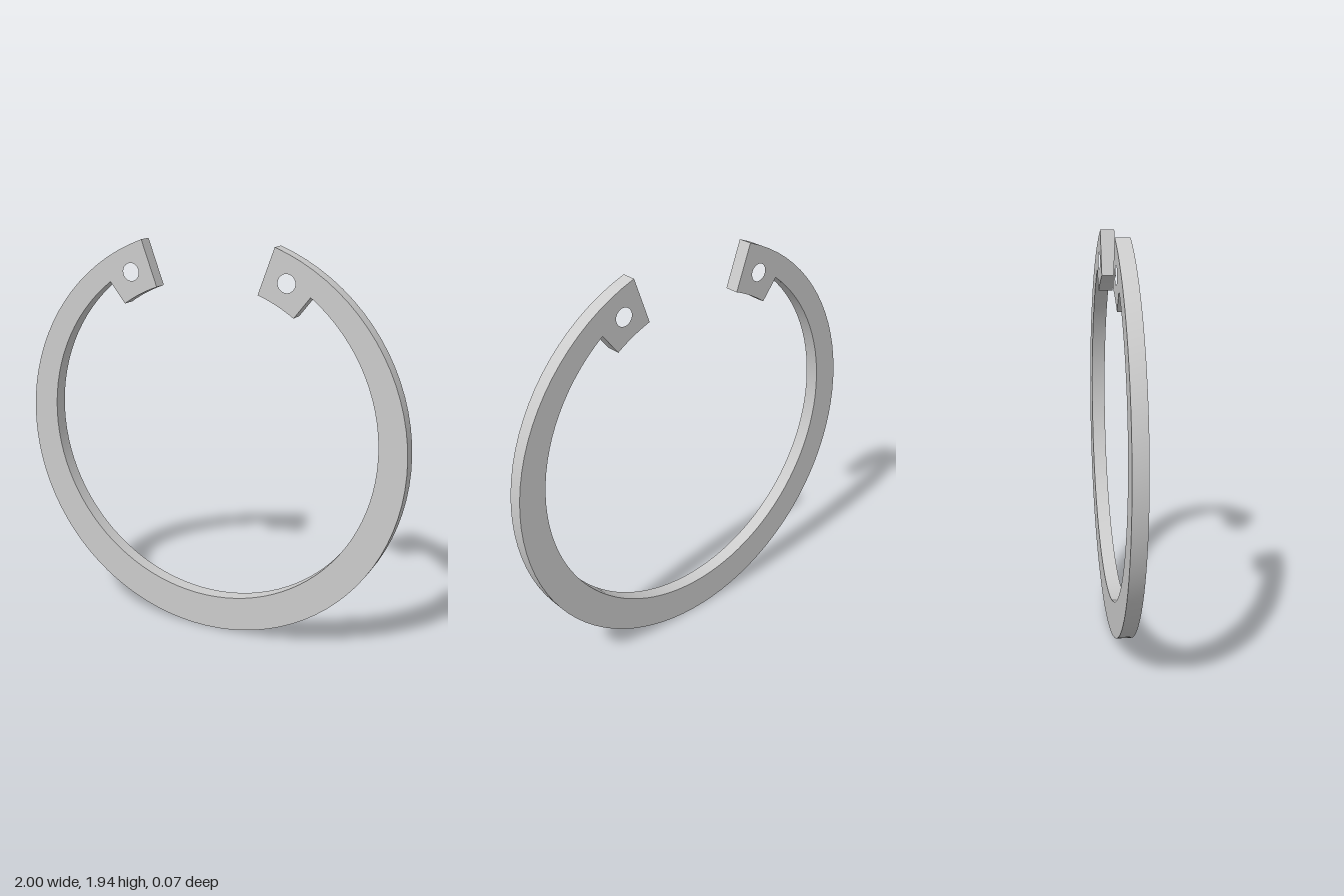
import * as THREE from 'three';
import { toCreasedNormals } from 'three/addons/utils/BufferGeometryUtils.js';

const THICKNESS = 0.07;
const OUTER = { y: 1, r: 1 };
const INNER = { y: 1.037, r: 0.864 }; // offset upward, so the band tapers towards the ends
const LUG_RADIUS = 0.766;
const HOLE = { x: 0.402, y: 1.782, r: 0.043 };

export function createModel() {
  const group = new THREE.Group();
  group.name = 'retainingRing';
  const rad = THREE.MathUtils.degToRad;

  // Open ring outline with an inward lug at each end (angles from +x)
  const outline = new THREE.Shape();
  outline.absarc(0, OUTER.y, OUTER.r, rad(70), rad(-250), true);
  outline.absarc(0, OUTER.y, LUG_RADIUS, rad(110), rad(125), false);
  outline.absarc(0, INNER.y, INNER.r, rad(126.9), rad(413.1), false);
  outline.absarc(0, OUTER.y, LUG_RADIUS, rad(55), rad(70), false);
  outline.closePath();

  // Plier hole in each lug
  for (const side of [-1, 1]) {
    const hole = new THREE.Path();
    hole.absarc(side * HOLE.x, HOLE.y, HOLE.r, 0, Math.PI * 2, true);
    outline.holes.push(hole);
  }

  const geometry = new THREE.ExtrudeGeometry(outline, {
    depth: THICKNESS,
    bevelEnabled: false,
    curveSegments: 40,
  });
  geometry.translate(0, 0, -THICKNESS / 2);

  const ring = new THREE.Mesh(
    toCreasedNormals(geometry, rad(25)),
    new THREE.MeshStandardMaterial({ color: 0xcccccc })
  );
  ring.name = 'openRingWithLugs';
  group.add(ring);
  return group;
}
